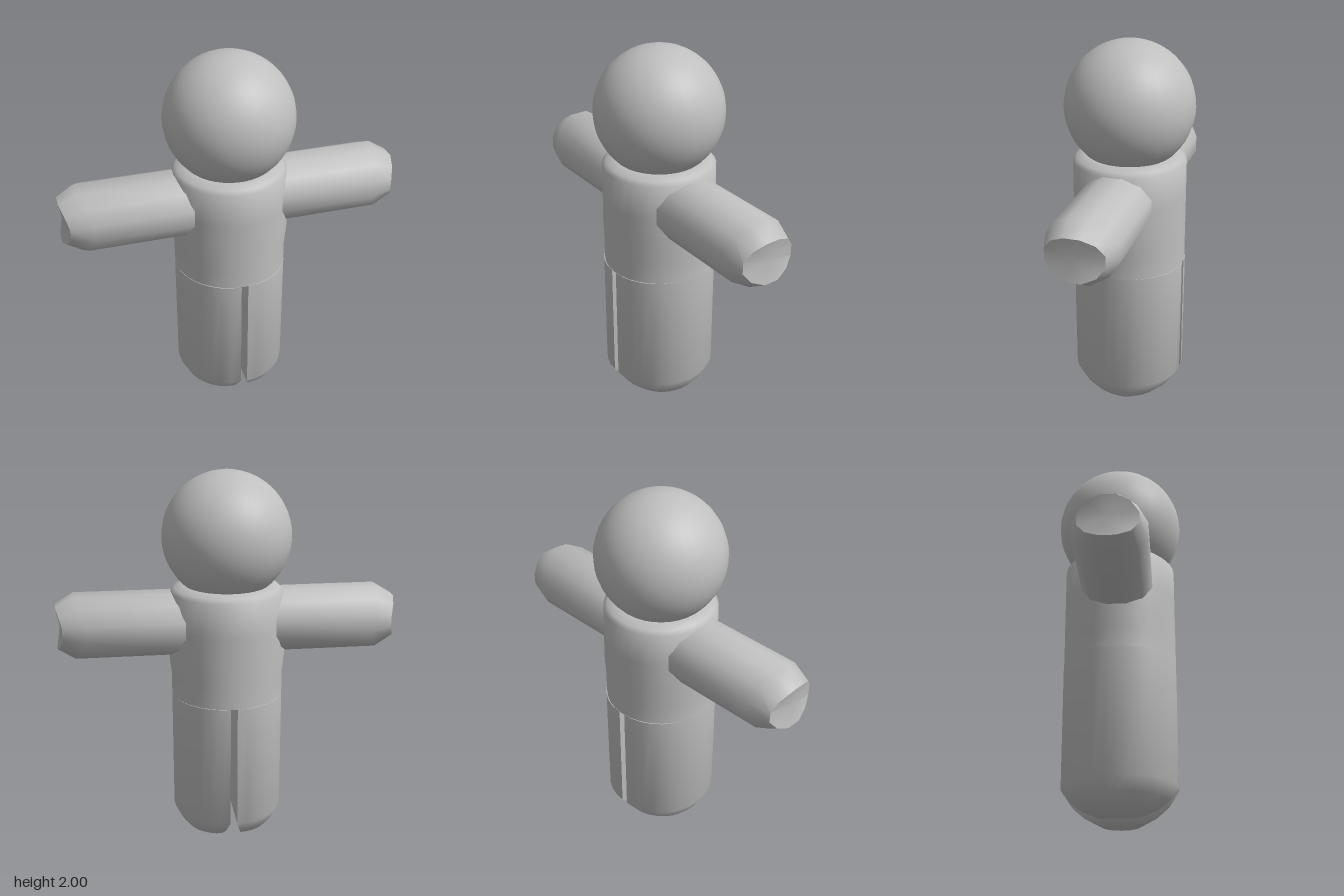
import * as THREE from 'three';
import { toCreasedNormals } from 'three/addons/utils/BufferGeometryUtils.js';

// Skin a closed solid over rings that run counter-clockwise about their axis
function loft(rings) {
  const n = rings[0].length, pos = [], idx = [];
  rings.forEach(r => r.forEach(p => pos.push(...p)));
  for (let i = 0; i < rings.length - 1; i++) {
    for (let j = 0; j < n; j++) {
      const a = i * n + j, b = i * n + (j + 1) % n;
      idx.push(a, b, b + n, a, b + n, a + n);
    }
  }
  const cap = (start, flip) => {
    const c = pos.length / 3;
    for (let k = 0; k < 3; k++) {
      let s = 0;
      for (let j = 0; j < n; j++) s += pos[(start + j) * 3 + k];
      pos.push(s / n);
    }
    for (let j = 0; j < n; j++) {
      const a = start + j, b = start + (j + 1) % n;
      idx.push(c, flip ? b : a, flip ? a : b);
    }
  };
  cap(0, true);
  cap((rings.length - 1) * n, false);
  const g = new THREE.BufferGeometry();
  g.setAttribute('position', new THREE.Float32BufferAttribute(pos, 3));
  g.setIndex(idx);
  return toCreasedNormals(g, 1.1);
}

const ring = (n, fn, phase = 0) =>
  Array.from({ length: n }, (_, j) => fn(phase + j / n * Math.PI * 2));

// Torso: upright rings, slightly wider under the arms, softened shoulder
function torsoGeometry() {
  const rows = [ // y, half width, half depth
    [0.82, 0.295, 0.295], [0.93, 0.295, 0.295], [1.05, 0.308, 0.295],
    [1.2, 0.3, 0.295], [1.38, 0.295, 0.295], [1.4, 0.275, 0.275], [1.415, 0.235, 0.235]
  ];
  return loft(rows.map(([y, w, d]) =>
    ring(32, t => [w * Math.cos(t), y, -d * Math.sin(t)])));
}

// Leg: half-round column with a flat inner wall and a rounded foot
function legGeometry() {
  const rows = [ // y, inner x, outer x, half depth
    [0, 0.08, 0.17, 0.1], [0.045, 0.052, 0.225, 0.19], [0.09, 0.037, 0.26, 0.245],
    [0.16, 0.018, 0.295, 0.295], [0.82, 0.018, 0.295, 0.295]
  ];
  const n = 16;
  return loft(rows.map(([y, inner, outer, d]) =>
    Array.from({ length: n + 1 }, (_, j) => {
      const t = (j / n - 0.5) * Math.PI;
      return [inner + (outer - inner) * Math.cos(t), y, -d * Math.sin(t)];
    })));
}

// Arm: twelve-sided tube whose blunt end curves back at front and rear
function armGeometry() {
  const rows = [ // x, height scale, depth scale, setback at the sides
    [0.15, 1, 1, 0], [0.8, 1, 1, 0.07], [0.89, 0.67, 0.8, 0.04]
  ];
  return loft(rows.map(([x, sy, sz, back]) =>
    ring(12, t => [
      x - back * Math.sin(t) ** 2,
      1.215 + 0.171 * sy * Math.cos(t),
      0.19 * sz * Math.sin(t)
    ], Math.PI / 12)));
}

export function createModel() {
  const model = new THREE.Group();
  model.name = 'figure';
  const grey = new THREE.MeshStandardMaterial({ color: 0xbfbfbf });
  grey.name = 'grey';

  const add = (name, geometry) => {
    const mesh = new THREE.Mesh(geometry, grey);
    mesh.name = name;
    model.add(mesh);
    return mesh;
  };

  add('head', new THREE.SphereGeometry(0.335, 32, 24)).position.y = 1.665;
  add('torso', torsoGeometry());

  // Limbs are turned half round for the right side
  const arm = armGeometry(), leg = legGeometry();
  for (const [side, angle] of [['left', 0], ['right', Math.PI]]) {
    add(side + 'Arm', arm).rotation.y = angle;
    add(side + 'Leg', leg).rotation.y = angle;
  }
  return model;
}
